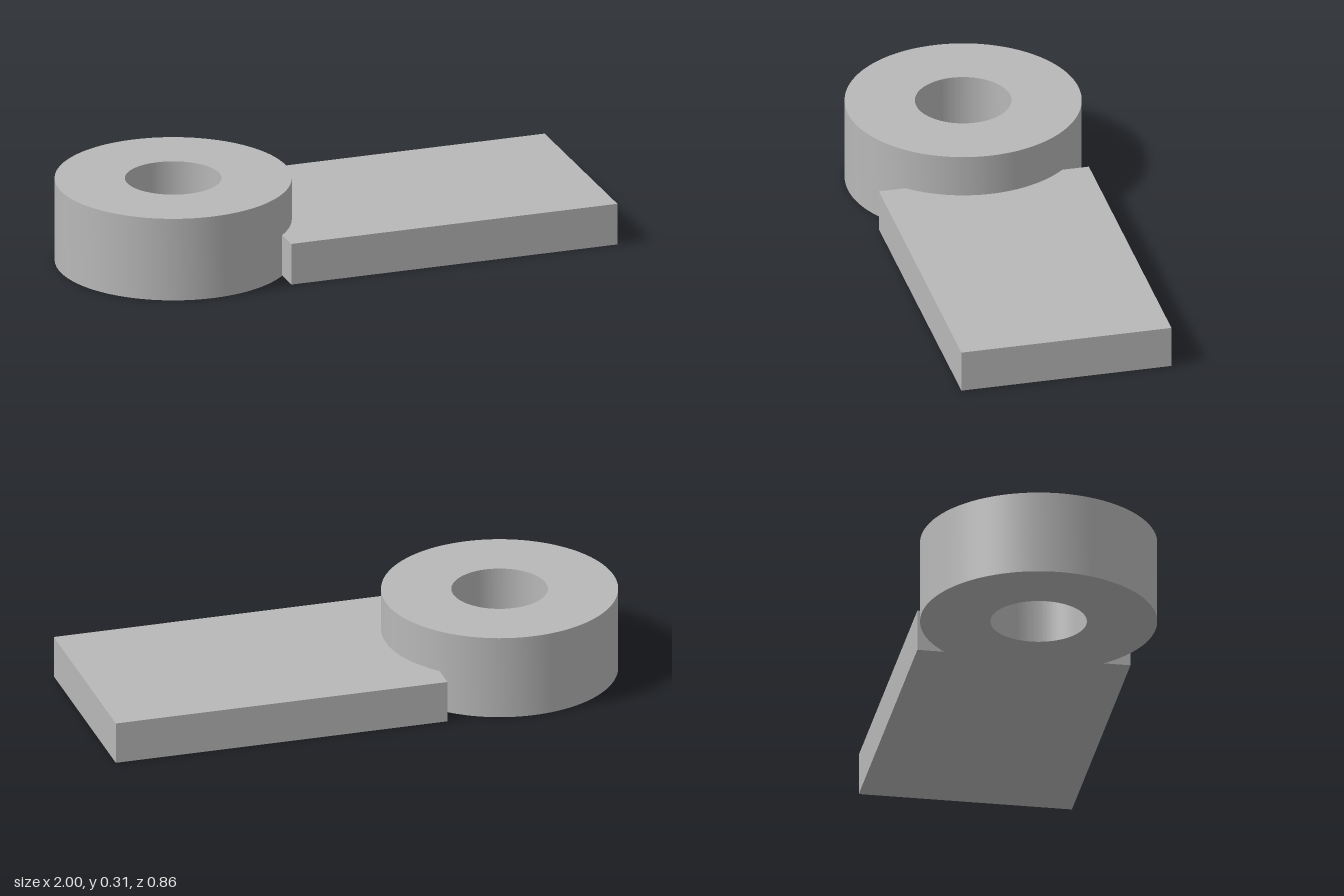
import * as THREE from 'three';
import { toCreasedNormals } from 'three/addons/utils/BufferGeometryUtils.js';

const RING = { x: -0.57, outer: 0.43, hole: 0.175, height: 0.315 };
const PLATE = { left: -0.255, right: 1, halfWidth: 0.392, height: 0.157 };

// Extrude a plan outline upwards from the ground, with smooth curves and sharp edges
function extrudeUp(shape, height, curveSegments) {
  const geometry = new THREE.ExtrudeGeometry(shape, { depth: height, bevelEnabled: false, curveSegments });
  geometry.rotateX(-Math.PI / 2);
  return toCreasedNormals(geometry, Math.PI / 6);
}

export function createModel() {
  const model = new THREE.Group();
  model.name = 'eyeBracket';
  const grey = new THREE.MeshStandardMaterial({ color: 0xb8b8b8 });
  grey.name = 'plain grey';

  const addPart = (name, geometry) => {
    const mesh = new THREE.Mesh(geometry, grey);
    mesh.name = name;
    model.add(mesh);
  };

  // Thick ring with a through hole
  const ring = new THREE.Shape().absarc(RING.x, 0, RING.outer, 0, Math.PI * 2, false);
  ring.holes.push(new THREE.Path().absarc(RING.x, 0, RING.hole, 0, Math.PI * 2, true));
  addPart('ring', extrudeUp(ring, RING.height, 96));

  // Flat plate, hollowed at its inner end to meet the ring
  const { left, right, halfWidth } = PLATE;
  const angle = Math.acos((left - RING.x) / RING.outer);
  const plate = new THREE.Shape();
  plate.moveTo(left, -halfWidth);
  plate.lineTo(right, -halfWidth);
  plate.lineTo(right, halfWidth);
  plate.lineTo(left, halfWidth);
  plate.absarc(RING.x, 0, RING.outer, angle, -angle, true);
  plate.closePath();
  addPart('plate', extrudeUp(plate, PLATE.height, 48));

  return model;
}
